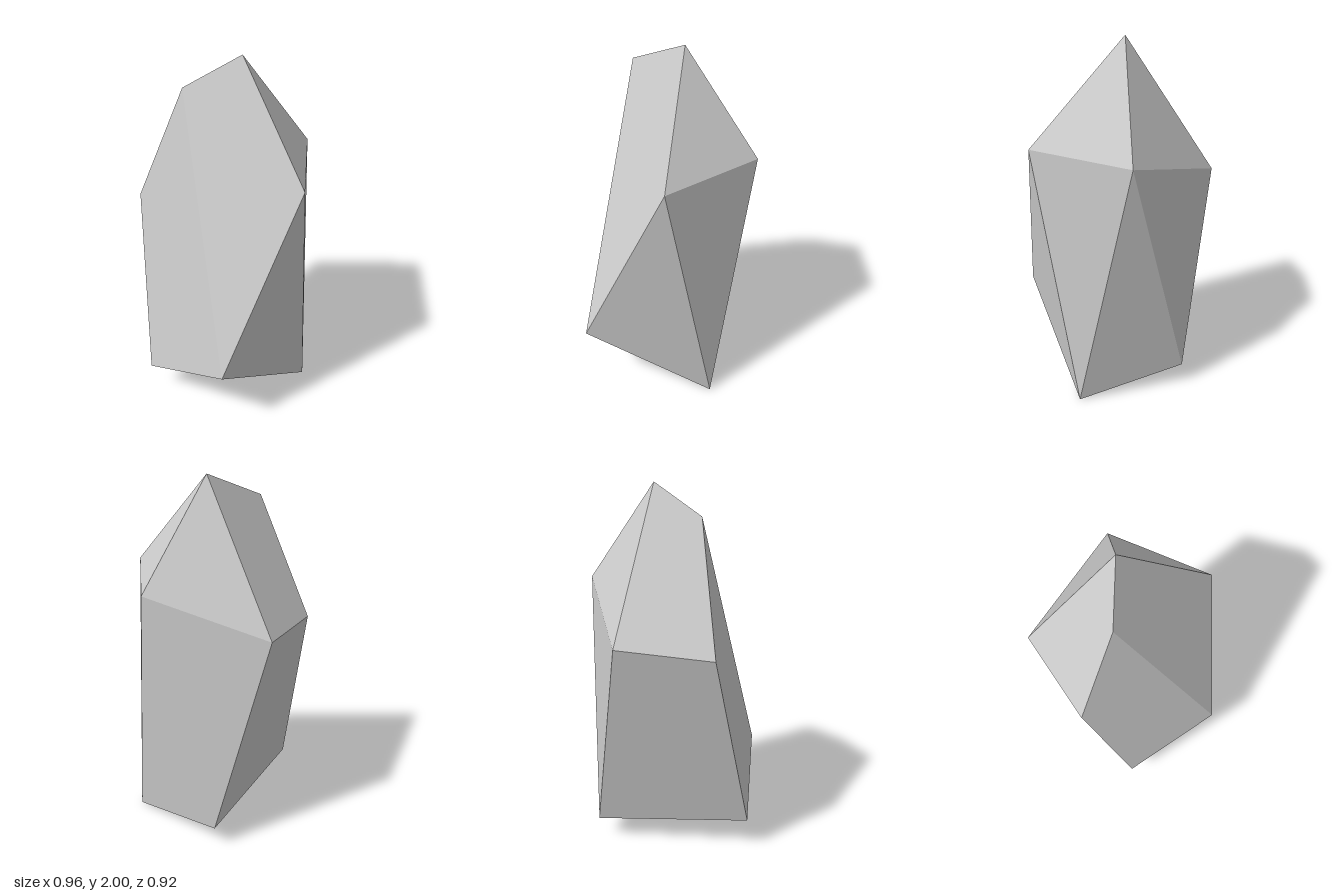
import * as THREE from 'three';

// Corners of the faceted crystal, from tip to base
const corners = {
  tip: [-0.02, 2.0, -0.087],
  shoulder: [-0.186, 1.862, 0.175],
  upperLeft: [0.477, 1.45, 0.014],
  upperBack: [0.133, 1.45, -0.46],
  upperRight: [-0.48, 1.253, -0.23],
  midRight: [-0.442, 1.2, 0.275],
  lowLeft: [0.32, 0.427, 0.457],
  lowRight: [-0.245, 0.18, 0.457],
  foot: [0.343, 0, -0.25],
  lowBack: [-0.245, 0.13, -0.384],
};

// Facets as counter-clockwise loops, each split as a fan from its first corner
const facets = [
  'shoulder lowLeft upperLeft tip',
  'midRight lowRight lowLeft shoulder',
  'upperRight lowBack lowRight midRight',
  'upperRight midRight shoulder tip',
  'tip upperLeft upperBack',
  'tip upperBack upperRight',
  'upperBack upperLeft foot',
  'upperBack foot lowBack',
  'upperRight upperBack lowBack',
  'upperLeft lowLeft foot',
  'lowLeft lowRight foot',
  'lowRight lowBack foot',
];

// One shared normal per facet keeps every facet evenly shaded
function facetGeometry() {
  const positions = [], normals = [];
  for (const facet of facets) {
    const p = facet.split(' ').map((name) => new THREE.Vector3(...corners[name]));
    const normal = new THREE.Vector3();
    p.forEach((a, i) => normal.add(a.clone().cross(p[(i + 1) % p.length])));
    normal.normalize();
    for (let i = 1; i < p.length - 1; i++) {
      for (const v of [p[0], p[i], p[i + 1]]) {
        positions.push(...v.toArray());
        normals.push(...normal.toArray());
      }
    }
  }
  const geometry = new THREE.BufferGeometry();
  geometry.setAttribute('position', new THREE.Float32BufferAttribute(positions, 3));
  geometry.setAttribute('normal', new THREE.Float32BufferAttribute(normals, 3));
  return geometry;
}

export function createModel() {
  const group = new THREE.Group();
  group.name = 'crystal';
  const stone = new THREE.Mesh(facetGeometry(), new THREE.MeshStandardMaterial({ color: 0xcccccc }));
  stone.name = 'facetedStone';
  group.add(stone);
  return group;
}
